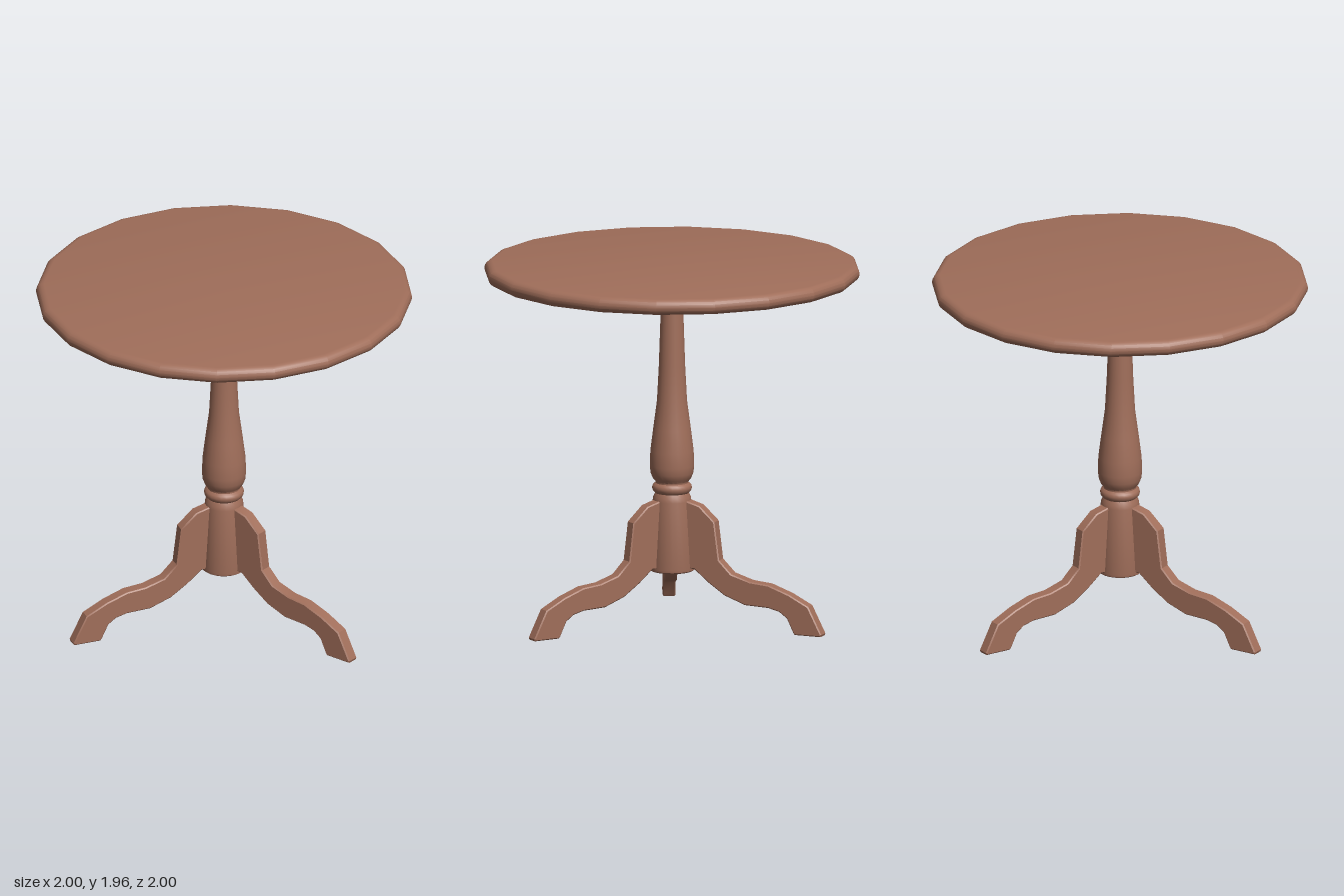
import * as THREE from 'three';
import { toCreasedNormals } from 'three/addons/utils/BufferGeometryUtils.js';

const wood = new THREE.MeshStandardMaterial({ color: 0xa06e5a });

function addMesh(parent, name, geometry, crease) {
  const mesh = new THREE.Mesh(toCreasedNormals(geometry, crease), wood);
  mesh.name = name;
  parent.add(mesh);
  return mesh;
}

function lathe(points, segments) {
  return new THREE.LatheGeometry(points.map(([r, y]) => new THREE.Vector2(r, y)), segments);
}

export function createModel() {
  const table = new THREE.Group();
  table.name = 'pedestalTable';

  // Twenty-sided top with a rounded rim
  const rim = [[0, 1.87]];
  for (let i = 0; i <= 8; i++) {
    const a = -Math.PI / 2 + (i / 8) * Math.PI;
    rim.push([0.957 + 0.043 * Math.cos(a), 1.9125 + 0.0425 * Math.sin(a)]);
  }
  rim.push([0, 1.955]);
  addMesh(table, 'tableTop', lathe(rim, 20), 0.42);

  // Turned column: base drum, ring and tapering vase
  addMesh(table, 'column', lathe([
    [0, 0.29], [0.112, 0.29], [0.122, 0.297], [0.124, 0.31],
    [0.103, 0.67], [0.1, 0.69], [0.09, 0.712],
    [0.094, 0.716], [0.104, 0.728], [0.106, 0.742], [0.102, 0.756], [0.088, 0.766],
    [0.088, 0.774], [0.102, 0.79], [0.114, 0.82], [0.118, 0.86], [0.115, 0.94],
    [0.1, 1.06], [0.08, 1.21], [0.07, 1.4], [0.06, 1.7], [0.055, 1.8], [0.054, 1.88],
  ], 24), 0.75);

  // Scrolled leg profile: distance from the column axis, height
  const profile = [
    [0.04, 0.68], [0.09, 0.678], [0.17, 0.655], [0.257, 0.575], [0.283, 0.37],
    [0.353, 0.3], [0.46, 0.267], [0.567, 0.257], [0.685, 0.215], [0.797, 0.158],
    [0.872, 0.012], [0.868, 0], [0.718, 0], [0.71, 0.012], [0.674, 0.086],
    [0.63, 0.118], [0.567, 0.134], [0.433, 0.139], [0.315, 0.182], [0.22, 0.246],
    [0.14, 0.312], [0.04, 0.312],
  ];
  const width = 0.068, bevel = 0.006;
  const legGeometry = new THREE.ExtrudeGeometry(
    new THREE.Shape(profile.map(([r, y]) => new THREE.Vector2(r, y))),
    {
      depth: width - 2 * bevel, bevelEnabled: true, bevelThickness: bevel,
      bevelSize: bevel, bevelOffset: -bevel, bevelSegments: 1,
    });
  legGeometry.translate(0, 0, bevel - width / 2);

  // Three legs around the column
  const legs = { frontLeg: -90, backLeftLeg: 36, backRightLeg: 150 };
  for (const [name, degrees] of Object.entries(legs)) {
    const leg = addMesh(table, name, legGeometry, 0.5);
    leg.rotation.y = THREE.MathUtils.degToRad(degrees);
  }

  return table;
}
